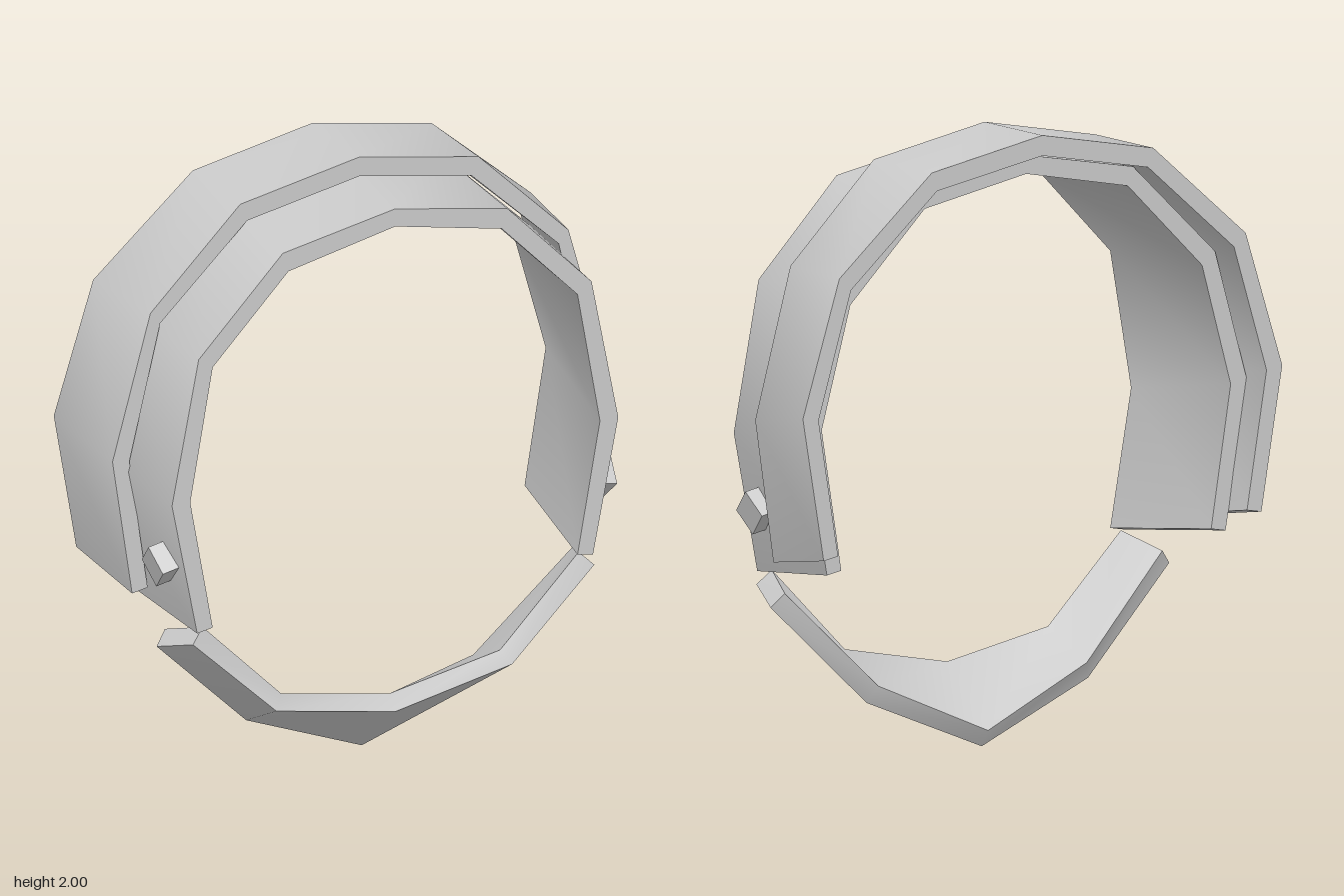
import * as THREE from 'three';
import { toCreasedNormals } from 'three/addons/utils/BufferGeometryUtils.js';

// Thick strip swept through four-cornered sections:
// outer front, outer back, inner back, inner front.
function strip(name, sections, material) {
  const positions = sections.flat(2);
  const index = [];
  for (let i = 0; i < sections.length - 1; i++) {
    for (let j = 0; j < 4; j++) {
      const a = i * 4 + j, b = i * 4 + (j + 1) % 4;
      index.push(a, b, a + 4, b, b + 4, a + 4);
    }
  }
  const e = (sections.length - 1) * 4;
  index.push(0, 2, 1, 0, 3, 2, e, e + 1, e + 2, e, e + 2, e + 3);
  const geometry = new THREE.BufferGeometry();
  geometry.setAttribute('position', new THREE.Float32BufferAttribute(positions, 3));
  geometry.setIndex(index);
  const mesh = new THREE.Mesh(toCreasedNormals(geometry, 0.82), material);
  mesh.name = name;
  return mesh;
}

const flip = (section) => section.map(([x, y, z]) => [-x, y, z]);

// Four rails of [x, y] points (centre to side) become sections between two depths.
function railsToSections(front, back, rails) {
  return rails[0].map((_, i) =>
    rails.map((rail, j) => [...rail[i], j === 0 || j === 3 ? front : back]));
}

// Half sections run from the centre to +x; the other half is mirrored.
const overTop = (half) => [...half.slice().reverse(), ...half.slice(1).map(flip)];
const underBottom = (half) => [...half.slice(1).reverse().map(flip), ...half];

export function createModel() {
  const group = new THREE.Group();
  group.name = 'splitCollar';
  const grey = new THREE.MeshStandardMaterial({ color: 0xcccccc });

  // Narrower front band
  const inner = railsToSections(0.28, -0.19, [
    [[0, 1.91], [0.4, 1.835], [0.7, 1.53], [0.795, 1.05], [0.705, 0.6]],
    [[0, 1.925], [0.41, 1.85], [0.725, 1.55], [0.85, 1.12], [0.765, 0.655]],
    [[0, 1.865], [0.39, 1.79], [0.675, 1.51], [0.785, 1.12], [0.71, 0.665]],
    [[0, 1.85], [0.38, 1.77], [0.65, 1.495], [0.73, 1.05], [0.65, 0.61]],
  ]);
  group.add(strip('innerBand', overTop(inner), grey));

  // Wider rear band
  const outer = railsToSections(0.04, -0.28, [
    [[0, 2], [0.425, 1.92], [0.745, 1.61], [0.88, 1.13], [0.81, 0.67]],
    [[0, 2], [0.425, 1.92], [0.78, 1.615], [0.92, 1.18], [0.84, 0.72]],
    [[0, 1.935], [0.405, 1.86], [0.735, 1.575], [0.86, 1.17], [0.785, 0.73]],
    [[0, 1.935], [0.4, 1.86], [0.71, 1.57], [0.82, 1.12], [0.755, 0.68]],
  ]);
  group.add(strip('outerBand', overTop(outer), grey));

  // Separate slanted lower strap
  const lower = [
    [[0, 0.2, 0.28], [0, 0.005, 0.055], [0, 0.06, 0.02], [0, 0.25, 0.245]],
    [[0.42, 0.28, 0.275], [0.425, 0.18, 0.08], [0.4, 0.235, 0.05], [0.39, 0.325, 0.25]],
    [[0.715, 0.56, 0.27], [0.765, 0.51, 0.12], [0.725, 0.555, 0.1], [0.67, 0.605, 0.25]],
  ];
  group.add(strip('lowerStrap', underBottom(lower), grey));

  // Square studs standing on the sides of the front band
  for (const side of [1, -1]) {
    const stud = new THREE.Mesh(new THREE.BoxGeometry(0.06, 0.1, 0.1), grey);
    stud.name = side > 0 ? 'leftStud' : 'rightStud';
    stud.rotation.set(Math.PI / 4, 0, -0.2 * side, 'ZXY');
    stud.position.set(0.78 * side, 0.815, 0.175);
    group.add(stud);
  }
  return group;
}
